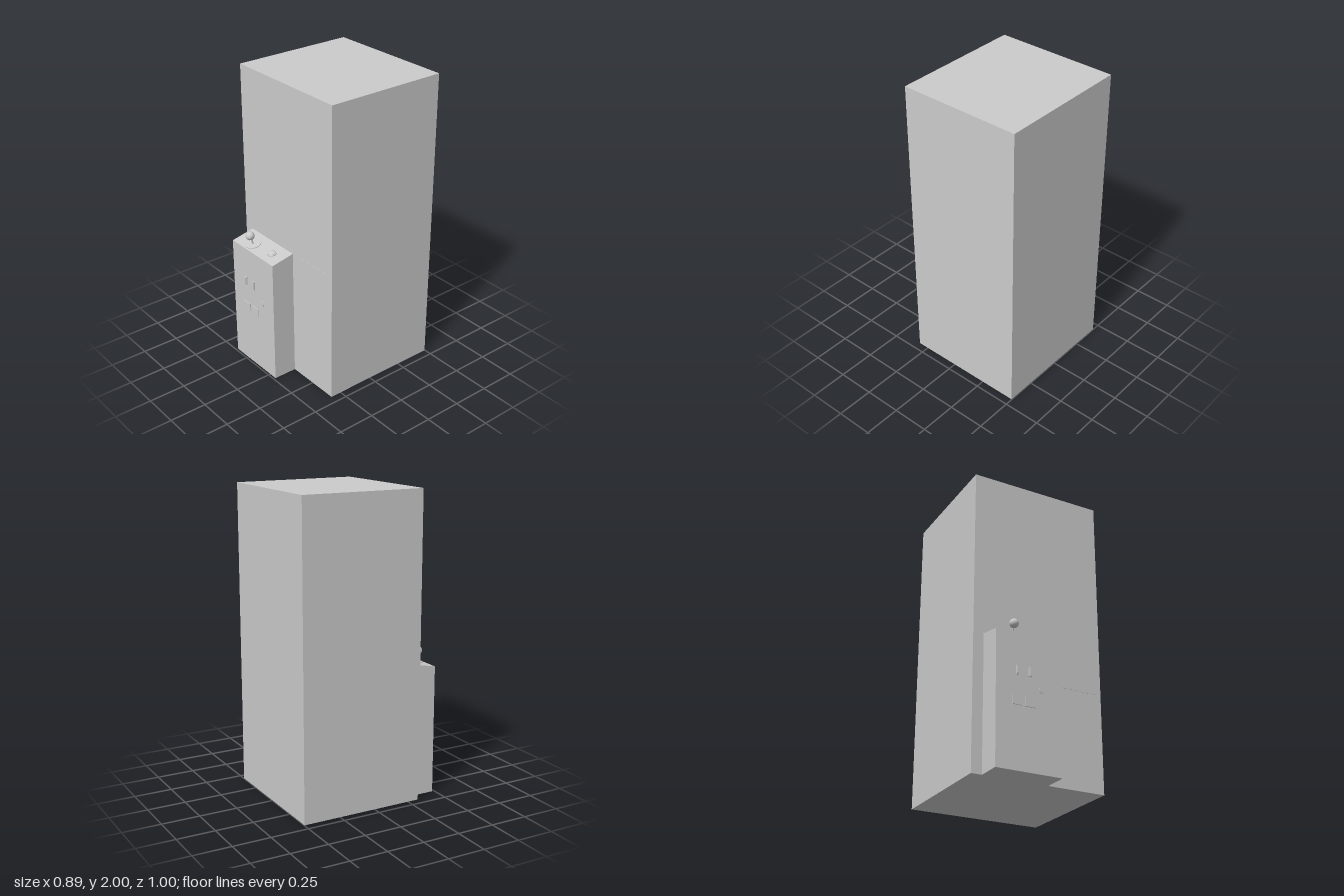
import * as THREE from 'three';

const material = new THREE.MeshStandardMaterial({ color: 0xcccccc });

export function createModel() {
  const model = new THREE.Group();

  const add = (parent, name, geometry, x, y, z) => {
    const mesh = new THREE.Mesh(geometry, material);
    mesh.name = name;
    mesh.position.set(x, y, z);
    parent.add(mesh);
    return mesh;
  };
  const box = (name, w, h, d, x, y, z) =>
    add(model, name, new THREE.BoxGeometry(w, h, d), x, y, z);

  // Main cabinet
  box('cabinet', 0.89, 2, 0.823, 0, 1, -0.0865);

  // Control console: side profile with a sloping top, extruded across x
  const front = 0.485, back = 0.32, frontTop = 0.853, backTop = 0.886;
  const profile = new THREE.Shape([
    new THREE.Vector2(-front, 0),
    new THREE.Vector2(-back, 0),
    new THREE.Vector2(-back, backTop),
    new THREE.Vector2(-front, frontTop),
  ]);
  const consoleGeometry = new THREE.ExtrudeGeometry(profile, { depth: 0.433, bevelEnabled: false });
  consoleGeometry.rotateY(Math.PI / 2);
  add(model, 'controlConsole', consoleGeometry, -0.375, 0, 0);

  // Groups standing square on the sloping console top
  const slope = (backTop - frontTop) / (front - back);
  const onTop = (name, x, z) => {
    const group = new THREE.Group();
    group.name = name;
    group.position.set(x, frontTop + (front - z) * slope, z);
    group.rotation.x = Math.atan(slope);
    model.add(group);
    return group;
  };

  // Joystick
  const joystick = onTop('joystick', -0.234, 0.423);
  add(joystick, 'joystickPlate', new THREE.CylinderGeometry(0.053, 0.053, 0.004, 32), 0, 0.002, 0);
  const stick = new THREE.Group();
  stick.name = 'joystickLever';
  stick.rotation.x = 0.12;
  joystick.add(stick);
  add(stick, 'joystickShaft', new THREE.CylinderGeometry(0.005, 0.005, 0.066, 16), 0, 0.033, 0);
  add(stick, 'joystickBall', new THREE.SphereGeometry(0.029, 32, 20), 0, 0.07, 0);

  // Push button with a domed cap
  const button = onTop('pushButton', -0.05, 0.407);
  add(button, 'buttonCollar', new THREE.CylinderGeometry(0.032, 0.032, 0.006, 32), 0, 0.003, 0);
  const cap = add(button, 'buttonCap',
    new THREE.SphereGeometry(0.024, 32, 10, 0, Math.PI * 2, 0, Math.PI / 2), 0, 0.006, 0);
  cap.scale.y = 0.45;

  // Coin slots with a raised lip, and coin return doors below them
  for (const x of [-0.234, -0.15]) {
    box('coinSlot', 0.018, 0.06, 0.012, x, 0.615, 0.488);
    box('coinSlotLip', 0.007, 0.05, 0.006, x, 0.615, 0.494);
  }
  for (const x of [-0.234, -0.148]) {
    box('coinReturn', 0.072, 0.055, 0.01, x, 0.423, 0.485);
  }

  // Lock
  const lock = add(model, 'lock', new THREE.CylinderGeometry(0.021, 0.021, 0.008, 24), -0.068, 0.517, 0.485);
  lock.rotation.x = Math.PI / 2;

  // Prize flap, nearly flush with the cabinet front
  box('prizeFlap', 0.297, 0.25, 0.004, 0.266, 0.765, 0.325);

  return model;
}
